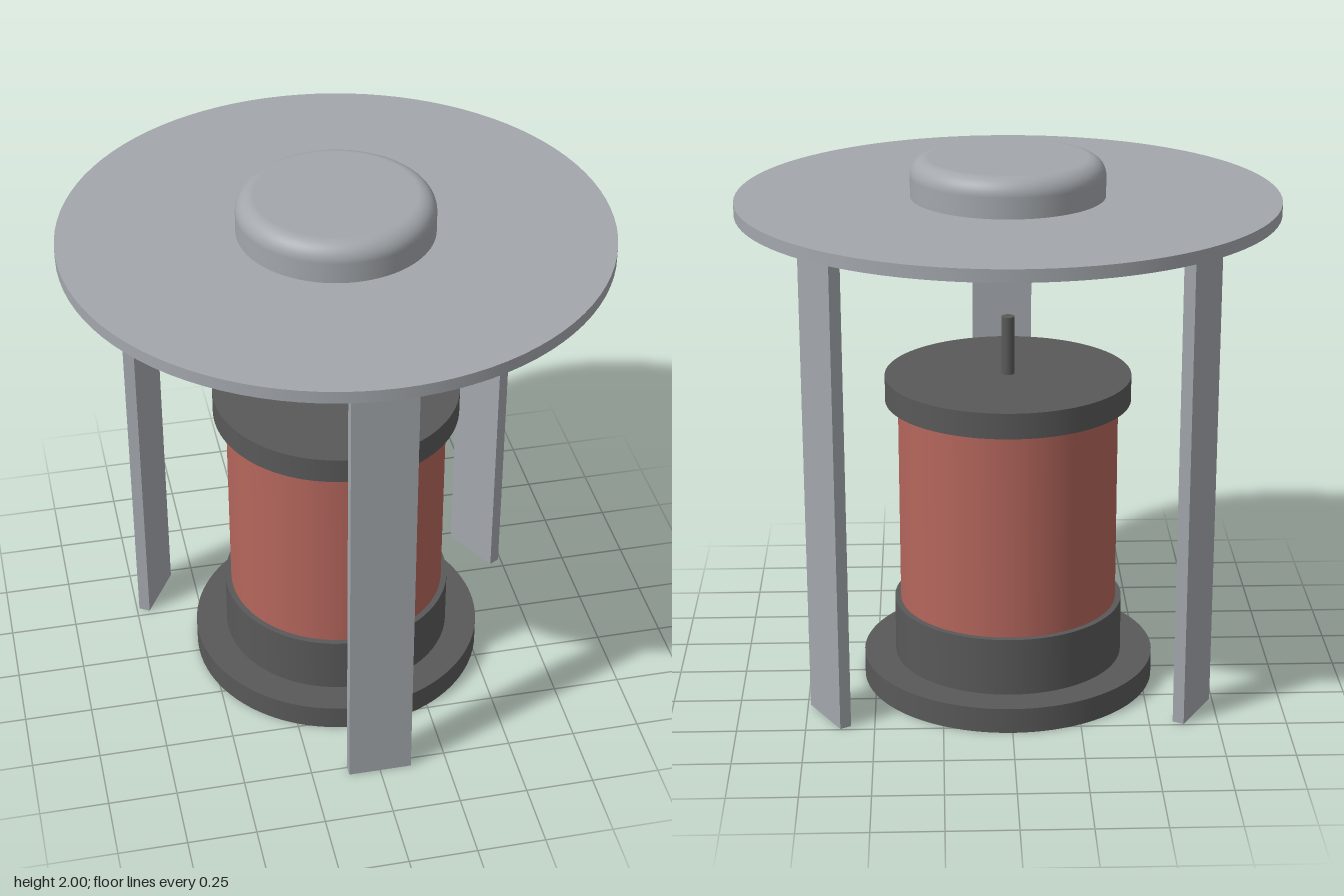
import * as THREE from 'three';

const SEGMENTS = 96;

const steel = new THREE.MeshStandardMaterial({ color: 0xa3a7ac });
steel.name = 'steel grey';
const dark = new THREE.MeshStandardMaterial({ color: 0x595959 });
dark.name = 'dark grey';
const copper = new THREE.MeshStandardMaterial({ color: 0xb4665c });
copper.name = 'copper red';

// Upright solid cylinder between two heights
function disc(name, radius, bottom, top, material) {
  const geometry = new THREE.CylinderGeometry(radius, radius, top - bottom, SEGMENTS);
  const mesh = new THREE.Mesh(geometry, material);
  mesh.position.y = (bottom + top) / 2;
  mesh.name = name;
  return mesh;
}

// Turned part; a repeated point in the profile makes a sharp edge
function turned(name, profile, material) {
  const points = profile.map(([r, y]) => new THREE.Vector2(r, y));
  const mesh = new THREE.Mesh(new THREE.LatheGeometry(points, SEGMENTS), material);
  mesh.name = name;
  return mesh;
}

export function createModel() {
  const model = new THREE.Group();
  model.name = 'coilUnderRoundCanopy';

  // Coil stack: foot, collar, winding, flange and centre pin
  const stack = new THREE.Group();
  stack.name = 'coilStack';
  stack.add(
    disc('foot', 0.545, 0, 0.095, dark),
    disc('collar', 0.427, 0.095, 0.313, dark),
    disc('winding', 0.405, 0.313, 1.095, copper),
    disc('flange', 0.452, 1.095, 1.19, dark),
    disc('centrePin', 0.024, 1.19, 1.408, dark)
  );
  model.add(stack);

  // Three flat legs spaced evenly, the first at the front
  for (let i = 0; i < 3; i++) {
    const leg = new THREE.Group();
    leg.name = 'leg' + (i + 1);
    const strip = new THREE.Mesh(new THREE.BoxGeometry(0.232, 1.815, 0.044), steel);
    strip.name = 'legStrip';
    strip.position.set(0, 1.815 / 2, 0.766);
    leg.add(strip);
    leg.rotation.y = (i * Math.PI * 2) / 3;
    model.add(leg);
  }

  // Canopy plate with a small centre bore
  const bore = 0.042, rim = 0.976, low = 1.815, high = 1.86;
  model.add(turned('canopyPlate', [
    [bore, high], [bore, low], [bore, low],
    [rim, low], [rim, low], [rim, high], [rim, high], [bore, high]
  ], steel));

  // Cap with a rounded upper edge
  const radius = 0.35, fillet = 0.065;
  const profile = [[0, high], [radius, high], [radius, high]];
  for (let i = 0; i <= 10; i++) {
    const a = (i / 10) * Math.PI / 2;
    profile.push([radius - fillet + fillet * Math.cos(a), 2 - fillet + fillet * Math.sin(a)]);
  }
  profile.push([0, 2]);
  model.add(turned('cap', profile, steel));

  return model;
}
